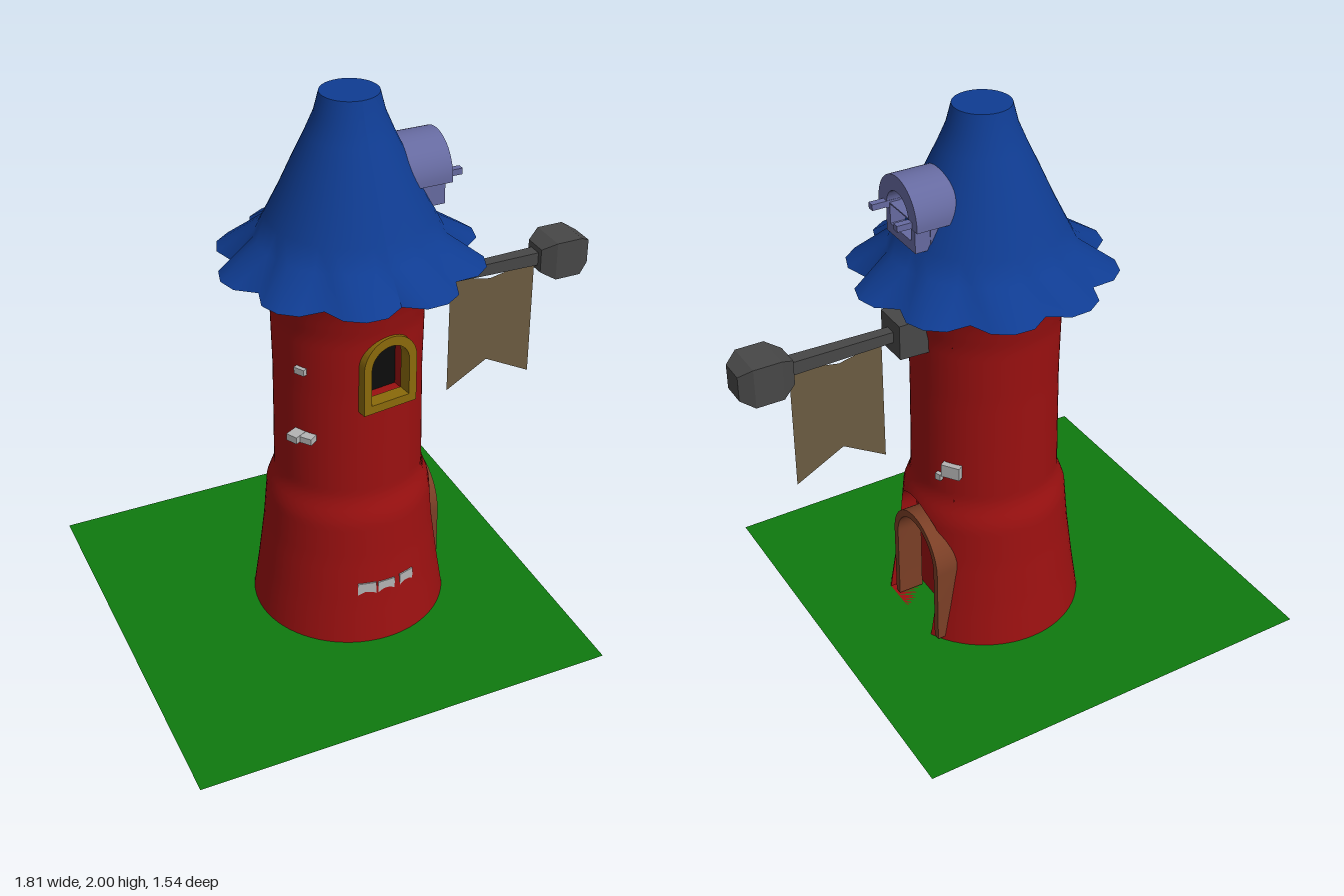
import * as THREE from 'three';
import { toCreasedNormals } from 'three/addons/utils/BufferGeometryUtils.js';

const mat = (color, side = THREE.DoubleSide) => new THREE.MeshStandardMaterial({ color, side });
const RED = mat(0x9a1010), BLUE = mat(0x0f3c92), GREEN = mat(0x0f7a0f), GOLD = mat(0x8a690a), BLACK = mat(0x0c0c0c);
const BROWN = mat(0x7b3f26), IRON = mat(0x474747), CLOTH = mat(0x6b5b41), LILAC = mat(0x666aa0), STONE = mat(0xb4b4b4);
const CX = -0.03; // tower axis

// Tower radius by height
const PROFILE = [[0, 0.357], [0.15, 0.335], [0.33, 0.312], [0.5, 0.297], [0.58, 0.268], [0.8, 0.265], [1, 0.263], [1.22, 0.267], [1.32, 0.285], [1.42, 0.314]];
function radius(y) {
  let i = 0;
  while (i < PROFILE.length - 2 && y > PROFILE[i + 1][0]) i++;
  const [y0, r0] = PROFILE[i], [y1, r1] = PROFILE[i + 1];
  return r0 + (r1 - r0) * (y - y0) / (y1 - y0);
}

// Openings in the wall: facing angle, half width, sill, height where the arch starts, recess depth
const DOOR = { angle: 0, w: 0.157, sill: 0, spring: 0.363, back: 0.2 };
const WINDOW = { angle: Math.PI / 2 - 0.13, w: 0.088, sill: 0.96, spring: 1.12, back: 0.17 };

function add(parent, name, geometry, material, x = 0, y = 0, z = 0) {
  const mesh = new THREE.Mesh(geometry, material);
  mesh.name = name;
  mesh.position.set(x, y, z);
  parent.add(mesh);
  return mesh;
}

// Surface from a rule point(u, v) -> [x, y, z]
function grid(point, nu, nv) {
  const pos = [], idx = [];
  for (let j = 0; j <= nv; j++) for (let i = 0; i <= nu; i++) pos.push(...point(i / nu, j / nv));
  for (let j = 0; j < nv; j++) for (let i = 0; i < nu; i++) {
    const a = j * (nu + 1) + i, b = a + nu + 1;
    idx.push(a, b, a + 1, a + 1, b, b + 1);
  }
  const g = new THREE.BufferGeometry();
  g.setAttribute('position', new THREE.Float32BufferAttribute(pos, 3));
  g.setIndex(idx);
  g.computeVertexNormals();
  return g;
}

// Piece of round wall; angle(u, y) and the height limits may vary
function wall(angle, low, high, nu, nv) {
  const g = grid((u, v) => {
    const y = low(u) + (high(u) - low(u)) * v, t = angle(u, y), r = radius(y);
    return [r * Math.cos(t), y, r * Math.sin(t)];
  }, nu, nv);
  const p = g.attributes.position, n = new THREE.Vector3();
  for (let i = 0; i < p.count; i++) {
    const y = p.getY(i), t = Math.atan2(p.getZ(i), p.getX(i));
    n.set(Math.cos(t), -(radius(y + 0.03) - radius(y - 0.03)) / 0.06, Math.sin(t)).normalize();
    g.attributes.normal.setXYZ(i, n.x, n.y, n.z);
  }
  return g;
}

// Round-topped shape, and the same as a band open at the bottom
function arch(w, sill, spring, Type = THREE.Shape) {
  const s = new Type();
  s.moveTo(-w, sill).lineTo(-w, spring).absarc(0, spring, w, Math.PI, 0, true).lineTo(w, sill).lineTo(-w, sill);
  return s;
}
function archBand(w, t, sill, spring) {
  const s = new THREE.Shape(), i = w - t;
  s.moveTo(-w, sill).lineTo(-w, spring).absarc(0, spring, w, Math.PI, 0, true).lineTo(w, sill);
  s.lineTo(i, sill).lineTo(i, spring).absarc(0, spring, i, 0, Math.PI, false).lineTo(-i, sill);
  return s;
}
function archFrame(outer, hole) {
  outer.holes.push(hole);
  return outer;
}
function extrude(shape, z0, z1) {
  const g = new THREE.ExtrudeGeometry(shape, { depth: z1 - z0, bevelEnabled: false, curveSegments: 16 });
  return toCreasedNormals(g.translate(0, 0, z0), 0.6);
}

// Group whose +z looks out of the tower at the given angle
function facing(parent, name, angle, x = CX) {
  const g = new THREE.Group();
  g.name = name;
  g.position.x = x;
  g.rotation.y = Math.PI / 2 - angle;
  parent.add(g);
  return g;
}

// Jambs and back face of an opening
function recess(group, o, backMaterial) {
  const pts = [];
  for (let i = 0; i < 8; i++) pts.push([-o.w, o.sill + (o.spring - o.sill) * i / 8]);
  for (let i = 0; i <= 20; i++) pts.push([-o.w * Math.cos(Math.PI * i / 20), o.spring + o.w * Math.sin(Math.PI * i / 20)]);
  for (let i = 7; i >= 0; i--) pts.push([o.w, o.sill + (o.spring - o.sill) * i / 8]);
  pts.push(pts[0]);
  const n = pts.length - 1;
  const jamb = grid((u, v) => {
    const [s, y] = pts[Math.round(u * n)];
    const front = Math.sqrt(radius(y) ** 2 - s * s);
    return [s, y, front + (o.back - front) * v];
  }, n, 1);
  add(group, 'jamb', toCreasedNormals(jamb, 0.6), RED);
  add(group, 'recessBack', new THREE.ShapeGeometry(arch(o.w, o.sill, o.spring), 16), backMaterial, 0, 0, o.back);
}

function buildTower(root) {
  const tower = new THREE.Group();
  tower.name = 'tower';
  tower.position.x = CX;
  root.add(tower);
  const top = () => 1.42, ground = () => 0;
  const edge = (o, side, y) => o.angle + side * Math.asin(o.w / radius(y));
  const between = (a, b) => (u, y) => a(y) + (b(y) - a(y)) * u;
  add(tower, 'wallFront', wall(between(y => edge(DOOR, 1, y), y => edge(WINDOW, -1, y)), ground, top, 14, 71), RED);
  add(tower, 'wallBack', wall(between(y => edge(WINDOW, 1, y), y => edge(DOOR, -1, y) + 2 * Math.PI), ground, top, 48, 71), RED);
  const across = o => (u, y) => o.angle + Math.asin(o.w * Math.sin((u - 0.5) * Math.PI) / radius(y));
  const crown = o => u => o.spring + o.w * Math.sin(u * Math.PI);
  add(tower, 'wallOverDoor', wall(across(DOOR), crown(DOOR), top, 20, 50), RED);
  add(tower, 'wallOverWindow', wall(across(WINDOW), crown(WINDOW), top, 20, 20), RED);
  add(tower, 'wallUnderWindow', wall(across(WINDOW), ground, () => WINDOW.sill, 20, 48), RED);
}

function buildRoof(root) {
  // Ten scallops around the eaves
  const scallop = g => {
    const p = g.attributes.position;
    for (let i = 0; i < p.count; i++) {
      const x = p.getX(i), z = p.getZ(i), r = Math.hypot(x, z);
      if (r < 0.44) continue;
      const c = Math.cos(10 * Math.atan2(z, x));
      const k = (c > 0 ? 0.452 + 0.014 * c : 0.452 + 0.052 * c) / r;
      p.setX(i, x * k);
      p.setZ(i, z * k);
    }
    g.computeVertexNormals();
    return g;
  };
  const lathe = pts => scallop(new THREE.LatheGeometry(pts.map(p => new THREE.Vector2(...p)), 40));
  const roof = new THREE.Group();
  roof.name = 'roof';
  roof.position.x = -0.02;
  root.add(roof);
  add(roof, 'roofCone', lathe([[0.46, 1.41], [0.32, 1.5], [0.282, 1.575], [0.24, 1.66], [0.195, 1.76], [0.148, 1.86], [0.118, 1.93], [0.1, 2]]), BLUE);
  add(roof, 'eavesUnderside', lathe([[0.28, 1.41], [0.46, 1.41]]), BLUE);
  add(roof, 'roofTop', new THREE.CircleGeometry(0.1, 40).rotateX(-Math.PI / 2), BLUE, 0, 2, 0);
}

export function createModel() {
  const root = new THREE.Group();
  root.name = 'towerHouse';
  add(root, 'ground', new THREE.PlaneGeometry(1.54, 1.545).rotateX(-Math.PI / 2), GREEN, -0.14, 0, 0);
  buildTower(root);
  buildRoof(root);

  // Doorway with its arched frame set a little to one side
  const door = facing(root, 'door', DOOR.angle);
  recess(door, DOOR, RED);
  add(door, 'doorFrame', extrude(archBand(0.162, 0.027, 0.015, 0.313), 0.22, 0.317), BROWN, 0.045);

  // Window
  const win = facing(root, 'window', WINDOW.angle);
  recess(win, WINDOW, BLACK);
  add(win, 'windowFrame', extrude(archFrame(arch(0.105, 0.945, 1.12), arch(0.075, 0.977, 1.115, THREE.Path)), 0.225, 0.278), GOLD);

  // Dormer on the roof
  const dormer = facing(root, 'dormer', 0, 0);
  add(dormer, 'hood', extrude(archBand(0.13, 0.055, 1.67, 1.685), 0.13, 0.295), LILAC);
  add(dormer, 'dormerBack', extrude(arch(0.1, 1.59, 1.685), 0.13, 0.23), LILAC);
  const front = new THREE.Shape([[-0.097, 1.58], [0.097, 1.58], [0.097, 1.69], [-0.097, 1.69]].map(p => new THREE.Vector2(...p)));
  const notch = new THREE.Path([[-0.07, 1.615], [-0.07, 1.685], [0.07, 1.685], [0.07, 1.615]].map(p => new THREE.Vector2(...p)));
  add(dormer, 'dormerFront', extrude(archFrame(front, notch), 0.15, 0.285), LILAC);
  for (const s of [-1, 1]) add(dormer, 'dormerPeg', new THREE.BoxGeometry(0.025, 0.022, 0.1), LILAC, s * 0.085, 1.686, 0.298);

  // Banner pole with bracket and square finial
  const square = (r0, r1, x0, x1) => new THREE.CylinderGeometry(r1 * Math.SQRT2, r0 * Math.SQRT2, x1 - x0, 4).toNonIndexed()
    .rotateY(Math.PI / 4).rotateZ(-Math.PI / 2).translate((x0 + x1) / 2, 1.24, 0);
  const pole = new THREE.Group();
  pole.name = 'bannerPole';
  root.add(pole);
  const iron = (name, ...a) => add(pole, name, toCreasedNormals(square(...a), 0.3), IRON);
  iron('bracket', 0.068, 0.065, 0.2, 0.335);
  iron('rod', 0.02, 0.025, 0.33, 0.72);
  iron('finialInner', 0.045, 0.072, 0.71, 0.76);
  iron('finialMiddle', 0.072, 0.072, 0.76, 0.86);
  iron('finialOuter', 0.072, 0.045, 0.86, 0.905);

  // Swallow-tailed banner
  const cloth = [[0.37, 0.757], [0.53, 0.852], [0.71, 0.757], [0.71, 1.225], [0.53, 1.19], [0.37, 1.225]];
  add(root, 'banner', new THREE.ShapeGeometry(new THREE.Shape(cloth.map(p => new THREE.Vector2(...p)))), CLOTH);

  // Loose stones showing through the plaster: angle in degrees, distance, height, width, tall, deep
  const stones = [
    [102, 0.305, 0.22, 0.068, 0.05, 0.045], [89, 0.305, 0.218, 0.065, 0.048, 0.045], [74, 0.305, 0.22, 0.06, 0.05, 0.045],
    [152, 0.29, 0.827, 0.045, 0.026, 0.05], [143, 0.275, 0.827, 0.045, 0.024, 0.05], [150, 0.265, 1.085, 0.042, 0.024, 0.03],
    [-35, 0.263, 0.72, 0.07, 0.05, 0.05], [-24, 0.262, 0.678, 0.022, 0.026, 0.04],
  ];
  for (const [deg, r, y, w, h, d] of stones)
    add(facing(root, 'stone', deg * Math.PI / 180), 'stoneBlock', new THREE.BoxGeometry(w, h, d), STONE, 0, y, r);
  return root;
}
